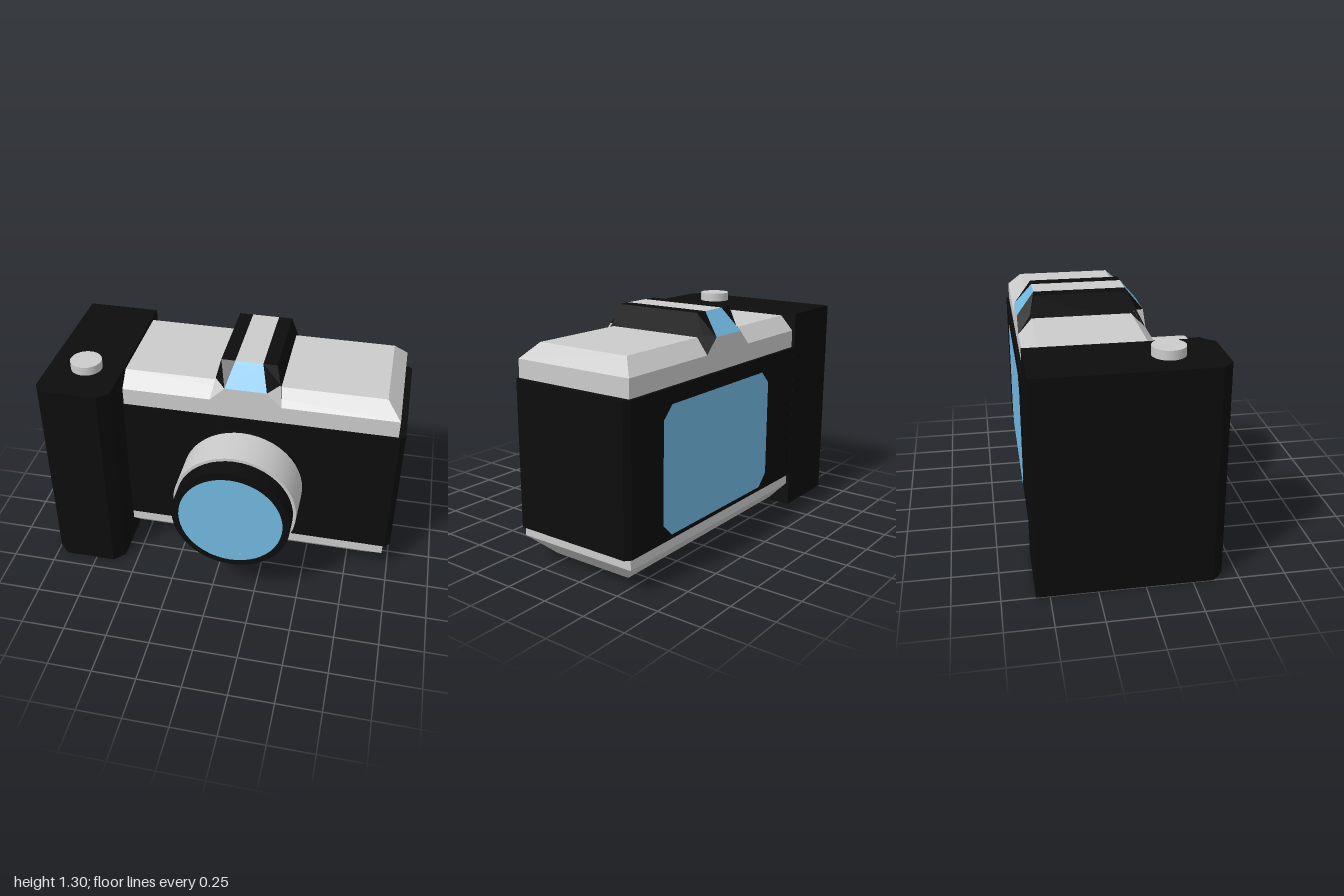
import * as THREE from 'three';
import { ConvexGeometry } from 'three/addons/geometries/ConvexGeometry.js';

const flat = (color) => new THREE.MeshStandardMaterial({ color, flatShading: true });
const GREY = flat(0xcccccc), BLACK = flat(0x0c0c0c), BLUE = flat(0x72b9e2);
const SMOOTH_GREY = new THREE.MeshStandardMaterial({ color: 0xcccccc });
const SMOOTH_BLACK = new THREE.MeshStandardMaterial({ color: 0x0c0c0c });

const V = (p) => new THREE.Vector3(...p);

function add(parent, name, geometry, material) {
  const mesh = new THREE.Mesh(geometry, material);
  mesh.name = name;
  parent.add(mesh);
  return mesh;
}

// Solid with a convex plan of [x, z] corners, from y0 to y1
function prism(plan, y0, y1) {
  return new ConvexGeometry(plan.flatMap(([x, z]) => [V([x, y0, z]), V([x, y1, z])]));
}

// Solid through stacked rectangles: [y, x0, x1, zBack, zFront]
function stack(levels) {
  return new ConvexGeometry(levels.flatMap(([y, x0, x1, z0, z1]) =>
    [[x0, y, z0], [x1, y, z0], [x1, y, z1], [x0, y, z1]].map(V)));
}

// Flat polygons, each turned to face away from a centre point
function facets(polygons, centre) {
  const out = [];
  for (const poly of polygons) {
    const pts = poly.map(V);
    const normal = new THREE.Vector3();
    for (let i = 1; i < pts.length - 1; i++) {
      normal.add(pts[i].clone().sub(pts[0]).cross(pts[i + 1].clone().sub(pts[0])));
    }
    if (normal.dot(pts[0].clone().sub(centre)) < 0) pts.reverse();
    for (let i = 1; i < pts.length - 1; i++) {
      for (const p of [pts[0], pts[i], pts[i + 1]]) out.push(p.x, p.y, p.z);
    }
  }
  const g = new THREE.BufferGeometry();
  g.setAttribute('position', new THREE.Float32BufferAttribute(out, 3));
  g.computeVertexNormals();
  return g;
}

function buildViewfinder() {
  const group = new THREE.Group();
  group.name = 'viewfinder';
  const cx = 0.12, cz = -0.195;
  // Corner at side sx and end sz, as offsets from the centre
  const at = (sx, sz, [x, y, z]) => [cx + sx * x, y, cz + sz * z];
  const A = [0.2, 1.1, 0.36], B = [0.117, 1.183, 0.36], C = [0.077, 1.305, 0.26];
  const D = [0.155, 1.305, 0.26], E = [0.18, 1.2, 0.29];
  const black = [], front = [], windows = [];
  const top = [at(-1, -1, C), at(1, -1, C), at(1, 1, C), at(-1, 1, C)];
  for (const sx of [-1, 1]) {
    // Sloping side and the black band along the top
    black.push([A, E, D].map((p) => at(sx, 1, p)).concat([D, E, A].map((p) => at(sx, -1, p))));
    black.push([at(sx, 1, C), at(sx, 1, D), at(sx, -1, D), at(sx, -1, C)]);
    for (const sz of [-1, 1]) {
      black.push([B, C, D, E].map((p) => at(sx, sz, p)));
      (sz > 0 ? front : black).push([A, B, E].map((p) => at(sx, sz, p)));
    }
  }
  for (const sz of [-1, 1]) {
    windows.push([at(-1, sz, B), at(1, sz, B), at(1, sz, C), at(-1, sz, C)]);
    front.push([at(-1, sz, A), at(1, sz, A), at(1, sz, B), at(-1, sz, B)]);
  }
  const centre = new THREE.Vector3(cx, 1.12, cz);
  add(group, 'viewfinderSides', facets(black, centre), BLACK);
  add(group, 'viewfinderBase', facets(front, centre), GREY);
  add(group, 'viewfinderStrip', facets([top], centre), GREY);
  add(group, 'viewfinderWindows', facets(windows, centre), BLUE);
  return group;
}

function buildLens() {
  const group = new THREE.Group();
  group.name = 'lens';
  group.position.set(0.12, 0.6, 0);
  const ring = (name, radius, z0, z1, material) => {
    const g = new THREE.CylinderGeometry(radius, radius, z1 - z0, 48);
    g.rotateX(Math.PI / 2).translate(0, 0, (z0 + z1) / 2);
    add(group, name, g, material);
  };
  ring('lensBarrel', 0.33, 0.17, 0.57, SMOOTH_BLACK);
  ring('focusRing', 0.347, 0.23, 0.465, SMOOTH_GREY);
  const glass = new THREE.CircleGeometry(0.29, 48).translate(0, 0, 0.575);
  add(group, 'lensGlass', glass, BLUE);
  return group;
}

export function createModel() {
  const model = new THREE.Group();
  model.name = 'camera';

  // Main body, with small bevels on its outer corners
  add(model, 'body', prism([[-0.58, -0.572], [0.97, -0.572], [1, -0.545],
    [1, 0.145], [0.97, 0.175], [-0.58, 0.175]], 0.2, 1), BLACK);

  // Bevelled panels above and below the body
  add(model, 'topPanel', stack([
    [1, -0.58, 0.96, -0.555, 0.165],
    [1.1, -0.58, 0.96, -0.555, 0.165],
    [1.183, -0.58, 0.88, -0.478, 0.085]]), GREY);
  add(model, 'bottomPanel', stack([
    [0.2, -0.58, 0.96, -0.555, 0.165],
    [0.135, -0.58, 0.96, -0.555, 0.165],
    [0.017, -0.58, 0.84, -0.44, 0.05]]), GREY);

  // Hand grip with bevelled front edges, and its shutter button
  add(model, 'grip', prism([[-1, -0.572], [-0.582, -0.572], [-0.582, 0.36],
    [-0.642, 0.42], [-0.94, 0.42], [-1, 0.36]], 0, 1.2), BLACK);
  const button = add(model, 'shutterButton', new THREE.CylinderGeometry(0.088, 0.088, 0.06, 32), SMOOTH_GREY);
  button.position.set(-0.787, 1.22, 0.138);

  // Rear screen with cut corners
  const [w, h, c] = [0.5, 0.345, 0.07];
  const outline = [[-w, c - h], [c - w, -h], [w - c, -h], [w, c - h],
    [w, h - c], [w - c, h], [c - w, h], [-w, h - c]];
  const screenShape = new THREE.Shape(outline.map(([x, y]) => new THREE.Vector2(x, y)));
  const screen = add(model, 'rearScreen', new THREE.ShapeGeometry(screenShape), BLUE);
  screen.rotation.y = Math.PI;
  screen.position.set(0.22, 0.57, -0.575);

  model.add(buildLens(), buildViewfinder());
  return model;
}
